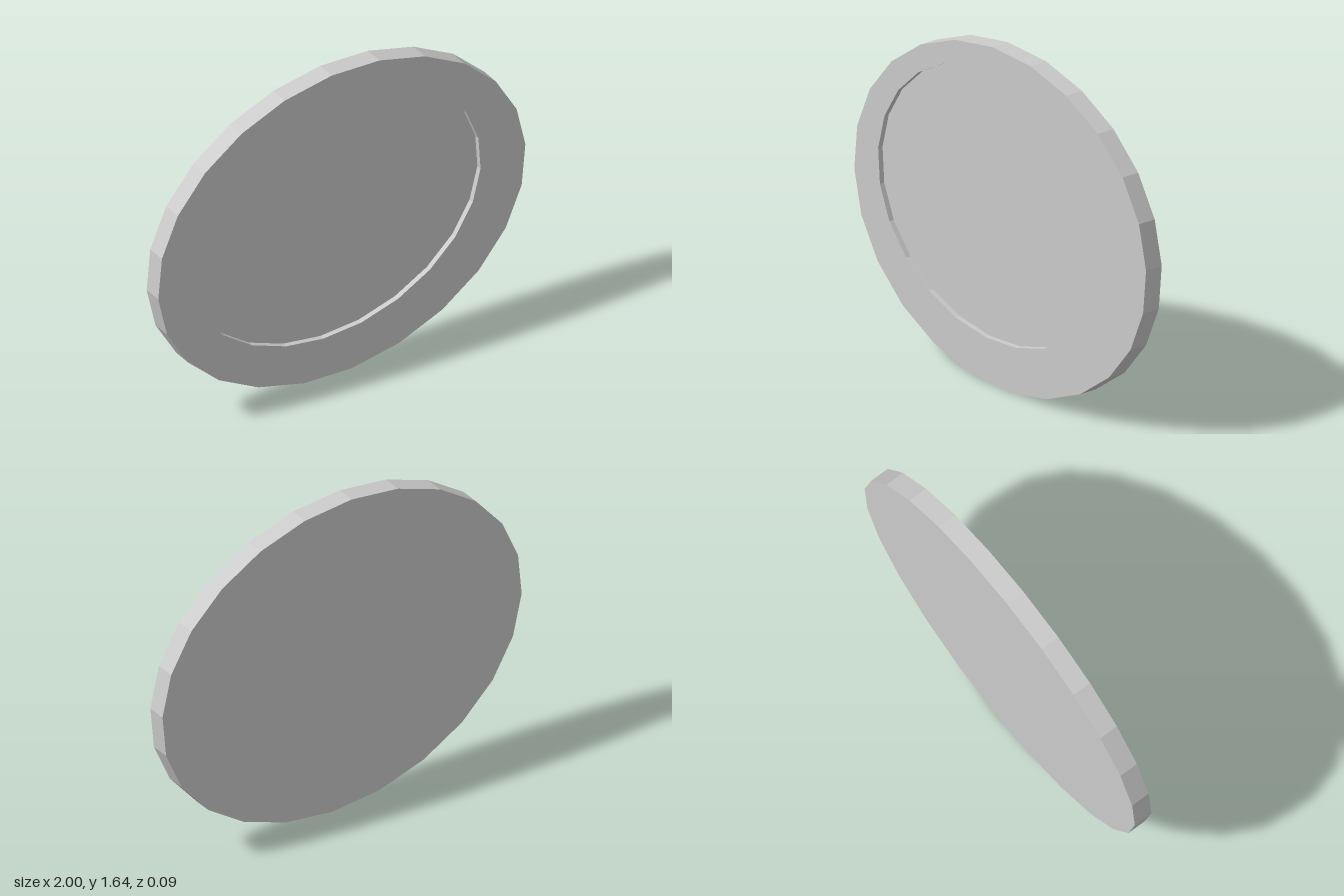
import * as THREE from 'three';

const SIDES = 24;
const BACK = -0.047, FRONT = 0.047, FLOOR = 0.021;
// Elliptical outlines: centre, radii and angle of the first corner
const OUTER = { x: 0, y: 0.825, rx: 1, ry: 0.82, start: THREE.MathUtils.degToRad(3.1) };
const INNER = { x: -0.04, y: 0.878, rx: 0.797, ry: 0.654, start: THREE.MathUtils.degToRad(-4.3) };

const material = new THREE.MeshStandardMaterial({ color: 0xcccccc, flatShading: true });

// Joins a list of [outline, z] loops with quads
function loft(loops) {
  const positions = [], indices = [];
  for (const [o, z] of loops) {
    for (let k = 0; k < SIDES; k++) {
      const t = o.start + (k / SIDES) * Math.PI * 2;
      positions.push(o.x + o.rx * Math.cos(t), o.y + o.ry * Math.sin(t), z);
    }
  }
  for (let i = 0; i < loops.length - 1; i++) {
    for (let k = 0; k < SIDES; k++) {
      const a = i * SIDES + k, b = i * SIDES + ((k + 1) % SIDES);
      indices.push(a, b, b + SIDES, a, b + SIDES, a + SIDES);
    }
  }
  const geometry = new THREE.BufferGeometry();
  geometry.setAttribute('position', new THREE.Float32BufferAttribute(positions, 3));
  geometry.setIndex(indices);
  geometry.computeVertexNormals();
  return geometry;
}

// Flat cap filling an outline, facing front or back
function cap(o, z, facesBack) {
  const geometry = new THREE.CircleGeometry(1, SIDES, facesBack ? -o.start : o.start);
  if (facesBack) geometry.rotateY(Math.PI);
  return geometry.scale(o.rx, o.ry, 1).translate(o.x, o.y, z);
}

export function createModel() {
  const model = new THREE.Group();
  model.name = 'ovalDish';
  const add = (name, geometry) => {
    const mesh = new THREE.Mesh(geometry, material);
    mesh.name = name;
    model.add(mesh);
  };

  // Outer wall, front rim and the wall of the shallow, off-centre recess
  add('rim', loft([[OUTER, BACK], [OUTER, FRONT], [INNER, FRONT], [INNER, FLOOR]]));
  add('recessFloor', cap(INNER, FLOOR, false));
  add('backFace', cap(OUTER, BACK, true));
  return model;
}
